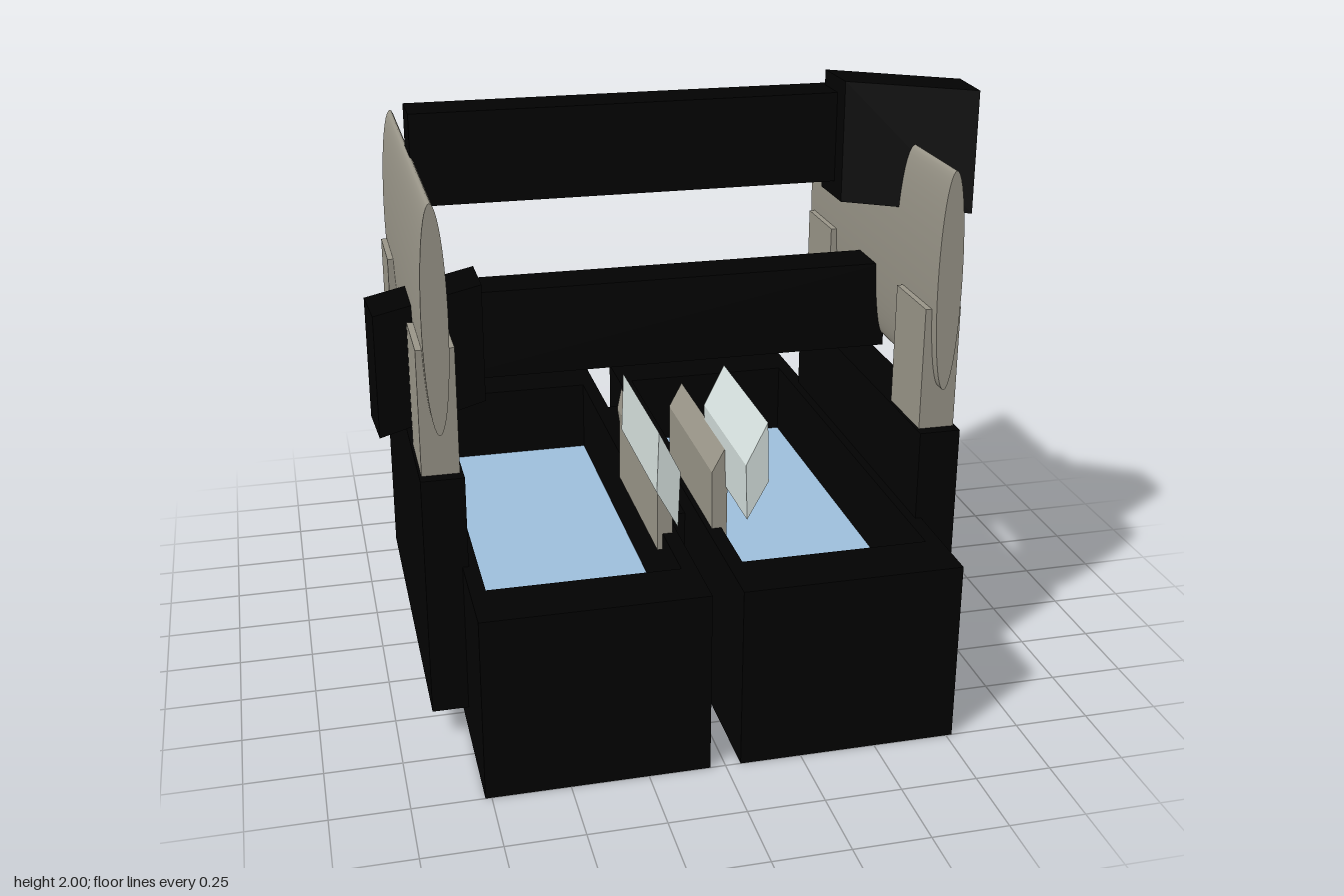
import * as THREE from 'three';

const mat = (name, color) => {
  const m = new THREE.MeshStandardMaterial({ color });
  m.name = name;
  return m;
};

export function createModel() {
  const black = mat('black', 0x020202);
  const metal = mat('warm grey metal', 0x9b978a);
  const pale = mat('pale grey', 0xd8e3e0);
  const blue = mat('blue glass', 0x9fc1de);
  const group = new THREE.Group();

  const add = (name, geometry, material) => {
    const mesh = new THREE.Mesh(geometry, material);
    mesh.name = name;
    group.add(mesh);
    return mesh;
  };

  // Box given by its lower and upper corners
  const box = (name, material, [x0, y0, z0], [x1, y1, z1]) =>
    add(name, new THREE.BoxGeometry(x1 - x0, y1 - y0, z1 - z0), material)
      .position.set((x0 + x1) / 2, (y0 + y1) / 2, (z0 + z1) / 2);

  const outline = (points, side = 1) =>
    new THREE.Shape(points.map(([x, y]) => new THREE.Vector2(x * side, y)));
  const extrude = (shape, depth) =>
    new THREE.ExtrudeGeometry(shape, { depth, bevelEnabled: false });
  // Prism standing upright from a plan in x and z
  const upright = (shape, y0, y1) =>
    extrude(shape, y1 - y0).rotateX(Math.PI / 2).translate(0, y1, 0);
  const rect = (x, z) => outline([[-x, -z], [x, -z], [x, z], [-x, z]]);

  for (const side of [1, -1]) {
    const label = side > 0 ? 'left' : 'right';
    const mirrored = (name, material, a, b) => {
      const xs = [a[0] * side, b[0] * side].sort((p, q) => p - q);
      box(label + name, material, [xs[0], a[1], a[2]], [xs[1], b[1], b[2]]);
    };

    // Open frame with a recessed pane
    const frame = rect(0.36, 1);
    frame.holes.push(rect(0.31, 0.805));
    add(label + 'Frame', upright(frame, 0, 0.617), black).position.x = side * 0.41;
    mirrored('Pane', blue, [0.1, 0.25, -0.805], [0.72, 0.352, 0.805]);

    // Side housing, posts and flattened oval rail
    mirrored('Housing', black, [0.75, 0.105, -0.638], [0.888, 0.925, 0.638]);
    for (const z of [-0.598, 0.34]) {
      mirrored('Post', metal, [0.76, 0.9, z], [0.88, 1.342, z + 0.258]);
    }
    const rail = new THREE.CylinderGeometry(1, 1, 1.276, 48)
      .rotateX(Math.PI / 2).scale(0.041, 0.367, 1).translate(side * 0.82, 1.44, 0);
    add(label + 'Rail', rail, metal);

    // Inner clip: bent metal blade carrying a pale jaw
    const blade = outline([[0.068, 0.56], [0.118, 0.56], [0.118, 0.78],
      [0.125, 0.83], [0.11, 0.905], [0.065, 0.82]], side);
    add(label + 'ClipBlade', extrude(blade, 0.585).translate(0, 0, -0.03), metal);
    const jaw = outline([[0.112, 0.765], [0.18, 0.89], [0.173, 1.09], [0.105, 0.952]], side);
    add(label + 'ClipJaw', extrude(jaw, 0.51).translate(0, 0, 0.297), pale);

    // Crossbar with an angled grip; the upper one points left, the lower one right
    const base = side > 0 ? 1.59 : 0.978;
    const ends = [-0.82 * side, 0.77 * side].sort((p, q) => p - q);
    box(label + 'Crossbar', black, [ends[0], base + 0.053, -0.085], [ends[1], base + 0.358, 0.08]);
    const grip = outline([[0.615, -0.052], [1, 0.2], [0.988, 0.393], [0.615, 0.155]], side);
    add(label + 'Grip', upright(grip, base, base + 0.41), black);
  }

  // Links joining the two frames
  box('frontLink', black, [-0.05, 0.085, 0.005], [0.05, 0.537, 0.262]);
  box('rearLink', black, [-0.05, 0, -0.555], [0.05, 0.617, -0.3]);

  return group;
}
